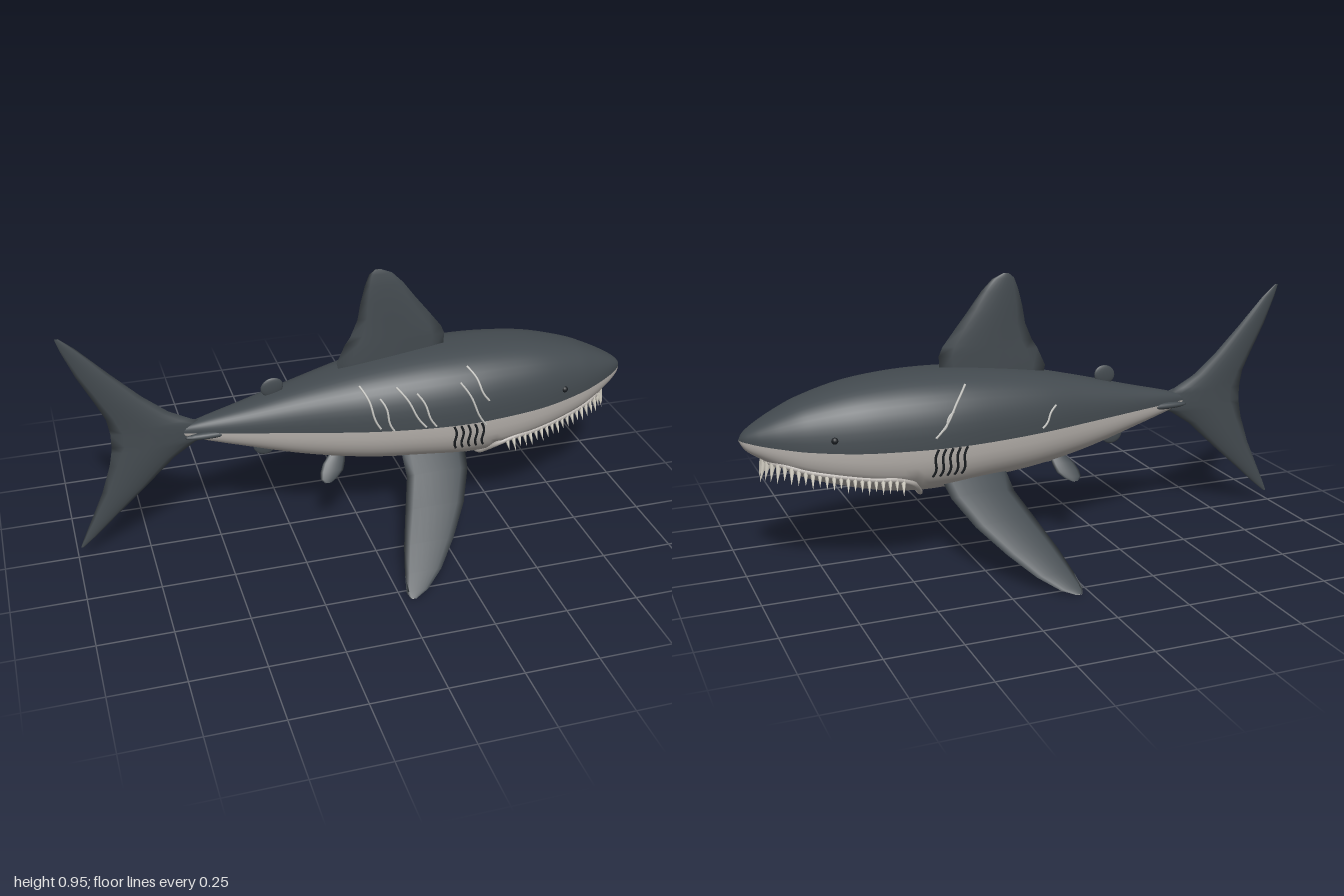
import * as THREE from 'three';

const mat = (name, color, side = THREE.FrontSide) => {
  const m = new THREE.MeshStandardMaterial({ color, side });
  m.name = name;
  return m;
};

// Body stations: x, top y, widest-line y, bottom y, half width
const BODY = [
  [-0.64, 0.45, 0.445, 0.44, 0.002], [-0.58, 0.475, 0.445, 0.42, 0.025], [-0.4, 0.52, 0.442, 0.368, 0.07],
  [-0.2, 0.572, 0.438, 0.315, 0.118], [0, 0.617, 0.435, 0.282, 0.166], [0.2, 0.645, 0.433, 0.265, 0.196],
  [0.35, 0.653, 0.433, 0.252, 0.205], [0.5, 0.65, 0.435, 0.256, 0.196], [0.65, 0.633, 0.439, 0.288, 0.174],
  [0.8, 0.594, 0.449, 0.335, 0.13], [0.88, 0.56, 0.459, 0.378, 0.097], [0.94, 0.529, 0.467, 0.414, 0.064],
  [0.975, 0.507, 0.473, 0.437, 0.038], [0.99, 0.493, 0.475, 0.455, 0.022], [1, 0.477, 0.476, 0.475, 0.001],
];
const slope = (i, k) => {
  const a = BODY[Math.max(i - 1, 0)], b = BODY[Math.min(i + 1, BODY.length - 1)];
  return (b[k] - a[k]) / (b[0] - a[0]);
};
// Smoothly interpolated section at x
function section(x) {
  let i = 0;
  while (i < BODY.length - 2 && x > BODY[i + 1][0]) i++;
  const a = BODY[i], b = BODY[i + 1], d = b[0] - a[0], t = (x - a[0]) / d;
  const t2 = t * t, t3 = t2 * t;
  const [top, mid, bottom, half] = [1, 2, 3, 4].map((k) =>
    (2 * t3 - 3 * t2 + 1) * a[k] + (3 * t2 - 2 * t3) * b[k]
    + d * ((t3 - 2 * t2 + t) * slope(i, k) + (t3 - t2) * slope(i + 1, k)));
  return { top, mid, bottom, half };
}
// Half width of the body surface at a given x and height
function surfaceZ(x, y) {
  const s = section(x), h = y > s.mid ? s.top - s.mid : s.mid - s.bottom;
  const r = Math.min(Math.abs(y - s.mid) / h, 1);
  return s.half * Math.pow(1 - Math.pow(r, 2.5), 0.4);
}
const mouthY = (x) => 0.33 + 0.075 * Math.pow(Math.max(x - 0.48, 0) / 0.44, 1.6);

// Lofted body: dark upper half and pale lower half, jaw slightly inset
function bodyGeometry() {
  const N = 48, xs = [], pos = [], upper = [], lower = [];
  for (let i = 0; i <= 90; i++) xs.push(-0.64 + 1.64 * Math.sin((i / 90) * Math.PI / 2));
  const pw = (v) => Math.sign(v) * Math.pow(Math.abs(v), 0.8);
  xs.forEach((x, i) => {
    const s = section(x);
    for (let j = 0; j < N; j++) {
      const a = (j / N) * Math.PI * 2, up = j <= N / 2;
      const c = j === N / 4 || j === 3 * N / 4 ? 0 : pw(Math.cos(a));
      const y = s.mid + pw(Math.sin(a)) * (up ? s.top - s.mid : s.mid - s.bottom);
      const jaw = x > 0.45 && x < 0.92 && y < mouthY(x) ? 0.95 : 1;
      pos.push(x, y, c * s.half * jaw);
      if (i < xs.length - 1) {
        const k = (j + 1) % N, p = i * N, q = p + N;
        (j < N / 2 ? upper : lower).push(p + j, q + j, p + k, q + j, q + k, p + k);
      }
    }
  });
  return grouped(pos, upper, lower);
}

function grouped(pos, first, second) {
  const g = new THREE.BufferGeometry();
  g.setAttribute('position', new THREE.Float32BufferAttribute(pos, 3));
  g.setIndex([...first, ...second]);
  g.addGroup(0, first.length, 0);
  g.addGroup(first.length, second.length, 1);
  g.computeVertexNormals();
  return g;
}

// Lens-section fin. Stations: span, leading x, trailing x, half thickness
function finGeometry(stations, place) {
  const N = 8, R = 2 * N, pos = [], sides = [[], []];
  stations.forEach(([s, lead, trail, t], i) => {
    for (let j = 0; j < R; j++) {
      const u = j <= N ? j / N : 2 - j / N;
      const off = t * Math.pow(Math.sin(Math.PI * Math.min(u, 1)) + 1e-9, 0.7) * (j <= N ? 1 : -1);
      pos.push(...place(lead + (trail - lead) * u, s, off));
      if (i < stations.length - 1) {
        const k = (j + 1) % R, p = i * R, q = p + R;
        sides[j < N ? 0 : 1].push(p + j, q + j, p + k, q + j, q + k, p + k);
      }
    }
  });
  // turn the faces outward when the placement mirrors them
  const v = (i) => new THREE.Vector3().fromArray(pos, i * 3), all = sides.flat(), o = v(N / 2);
  let volume = 0;
  for (let i = 0; i < all.length; i += 3) {
    volume += v(all[i]).sub(o).dot(v(all[i + 1]).sub(o).cross(v(all[i + 2]).sub(o)));
  }
  if (volume < 0) sides.forEach((f) => f.reverse());
  return grouped(pos, sides[0], sides[1]);
}

export function createModel() {
  const hide = mat('dark hide', 0x434a4f, THREE.DoubleSide);
  const belly = mat('pale belly', 0xb3aea9, THREE.DoubleSide);
  const tooth = mat('tooth ivory', 0xd8d4c8);
  const scarMat = mat('scar grey', 0xc4c4c0);
  const dark = mat('gill and eye black', 0x1c2024);
  const group = new THREE.Group();
  const add = (name, geometry, material) => {
    const m = new THREE.Mesh(geometry, material);
    m.name = name;
    group.add(m);
    return m;
  };

  add('body', bodyGeometry(), [hide, belly]);

  // Upright fins
  const upright = (x, y, off) => [x, y, off];
  add('dorsalFin', finGeometry([
    [0.59, 0.3, -0.06, 0.018], [0.625, 0.315, -0.07, 0.018], [0.69, 0.318, -0.04, 0.018], [0.72, 0.305, -0.02, 0.018],
    [0.78, 0.258, 0.005, 0.017], [0.84, 0.21, 0.015, 0.016], [0.9, 0.165, 0.03, 0.012],
    [0.94, 0.125, 0.045, 0.007], [0.957, 0.085, 0.065, 0.001],
  ], upright), [hide, hide]);
  add('tailFin', finGeometry([
    [0.843, -0.985, -0.998, 0.001], [0.8, -0.935, -0.985, 0.006], [0.7, -0.84, -0.945, 0.01], [0.6, -0.74, -0.895, 0.014],
    [0.53, -0.655, -0.862, 0.016], [0.49, -0.58, -0.855, 0.017], [0.47, -0.52, -0.852, 0.018], [0.42, -0.51, -0.852, 0.018],
    [0.4, -0.57, -0.855, 0.017], [0.35, -0.645, -0.865, 0.016], [0.25, -0.75, -0.898, 0.013], [0.15, -0.86, -0.943, 0.009],
    [0.08, -0.935, -0.975, 0.005], [0.043, -0.98, -0.99, 0.001],
  ], upright), [hide, hide]);
  for (const [name, x, y, tilt] of [['secondDorsalFin', -0.298, 0.568, 0.3], ['analFin', -0.332, 0.345, -0.4]]) {
    const m = add(name, new THREE.SphereGeometry(1, 20, 12), hide);
    m.scale.set(0.04, 0.034, 0.008);
    m.position.set(x, y, 0);
    m.rotation.z = tilt;
  }

  // Paired fins, keels and eyes
  for (const side of [1, -1]) {
    const label = side > 0 ? 'right' : 'left';
    add(label + 'PectoralFin', finGeometry([
      [0.1, 0.365, 0.13, 0.013], [0.2, 0.348, 0.125, 0.013], [0.3, 0.3, 0.088, 0.011], [0.4, 0.228, 0.052, 0.009],
      [0.48, 0.158, 0.03, 0.006], [0.53, 0.095, 0.02, 0.004], [0.55, 0.05, 0.03, 0.001],
    ], (x, s, o) => [x, 0.29 - 0.7125 * (s - 0.15) + 0.81 * o, side * (s + 0.58 * o)]), [hide, belly]);
    add(label + 'PelvicFin', finGeometry([
      [0, -0.06, -0.12, 0.007], [0.3, -0.065, -0.145, 0.007], [0.6, -0.075, -0.158, 0.006],
      [0.85, -0.1, -0.16, 0.004], [1, -0.125, -0.145, 0.001],
    ], (x, s, o) => [x, 0.31 - 0.082 * s + 0.5 * o, side * (0.07 + 0.05 * s + 0.86 * o)]), [hide, belly]);
    const keel = add(label + 'TailKeel', new THREE.SphereGeometry(1, 16, 10), hide);
    keel.scale.set(0.08, 0.012, 0.014);
    keel.position.set(-0.53, 0.438, side * 0.038);
    const eye = add(label + 'Eye', new THREE.SphereGeometry(0.012, 16, 10), dark);
    eye.position.set(0.72, 0.485, side * (surfaceZ(0.72, 0.485) - 0.004));
  }

  // Thin marks that follow the skin
  const mark = (name, side, x0, y0, x1, y1, r, material) => {
    const pts = [];
    for (let i = 0; i <= 6; i++) {
      const t = i / 6, x = x0 + (x1 - x0) * t + 0.006 * Math.sin(t * 6), y = y0 + (y1 - y0) * t;
      pts.push(new THREE.Vector3(x, y, side * surfaceZ(x, y)));
    }
    add(name, new THREE.TubeGeometry(new THREE.CatmullRomCurve3(pts), 16, r, 6), material);
  };
  for (const side of [1, -1]) {
    for (let i = 0; i < 5; i++) {
      const x = 0.29 + i * 0.025;
      mark('gillSlit', side, x, 0.432, x + 0.018, 0.335, 0.0045, dark);
    }
  }
  [[1, -0.02, 0.585, 0.04, 0.445], [1, 0.04, 0.55, 0.085, 0.435], [1, 0.1, 0.58, 0.195, 0.44], [1, 0.165, 0.56, 0.23, 0.44],
    [1, 0.32, 0.58, 0.41, 0.42], [1, 0.355, 0.62, 0.42, 0.51], [-1, 0.27, 0.62, 0.4, 0.47], [-1, 0.33, 0.55, 0.38, 0.49],
    [-1, -0.05, 0.52, 0.01, 0.45]].forEach(([side, ...p]) => mark('scar', side, ...p, 0.004, scarMat));

  // Lip rim looping around the jaw
  const half = [[0.44, 0.28], [0.47, 0.315], [0.52, 0.334], [0.6, 0.341], [0.7, 0.357], [0.8, 0.376], [0.87, 0.397]]
    .map(([x, y]) => new THREE.Vector3(x, y, surfaceZ(x, y)));
  half.unshift(new THREE.Vector3(0.425, 0.257, 0.1));
  half.push(new THREE.Vector3(0.908, 0.403, 0.045));
  const flip = half.map((p) => new THREE.Vector3(p.x, p.y, -p.z)).reverse();
  const rim = new THREE.CatmullRomCurve3([new THREE.Vector3(0.42, 0.253, 0), ...half,
    new THREE.Vector3(0.922, 0.406, 0), ...flip], true);
  add('lipRim', new THREE.TubeGeometry(rim, 140, 0.009, 8, true), belly);

  // Teeth hang from the rim, longest at the front
  const TEETH = 64, down = new THREE.Vector3(0, -1, 0);
  for (let i = 0; i < TEETH; i++) {
    const p = rim.getPointAt((i + 0.5) / TEETH);
    if (p.x < 0.5) continue;
    const front = Math.max(0, 1 - Math.abs(p.z) / 0.12);
    const length = 0.046 + 0.028 * front + 0.006 * Math.sin(i * 2.4);
    const dir = new THREE.Vector3(0.12 + 0.15 * front, -1, Math.sign(p.z) * 0.45 * (1 - front)).normalize();
    const cone = new THREE.ConeGeometry(0.009 + 0.004 * front, length, 8).rotateX(Math.PI).translate(0, -length / 2, 0);
    const m = add('tooth', cone, tooth);
    m.position.copy(p);
    m.quaternion.setFromUnitVectors(down, dir);
  }
  return group;
}
